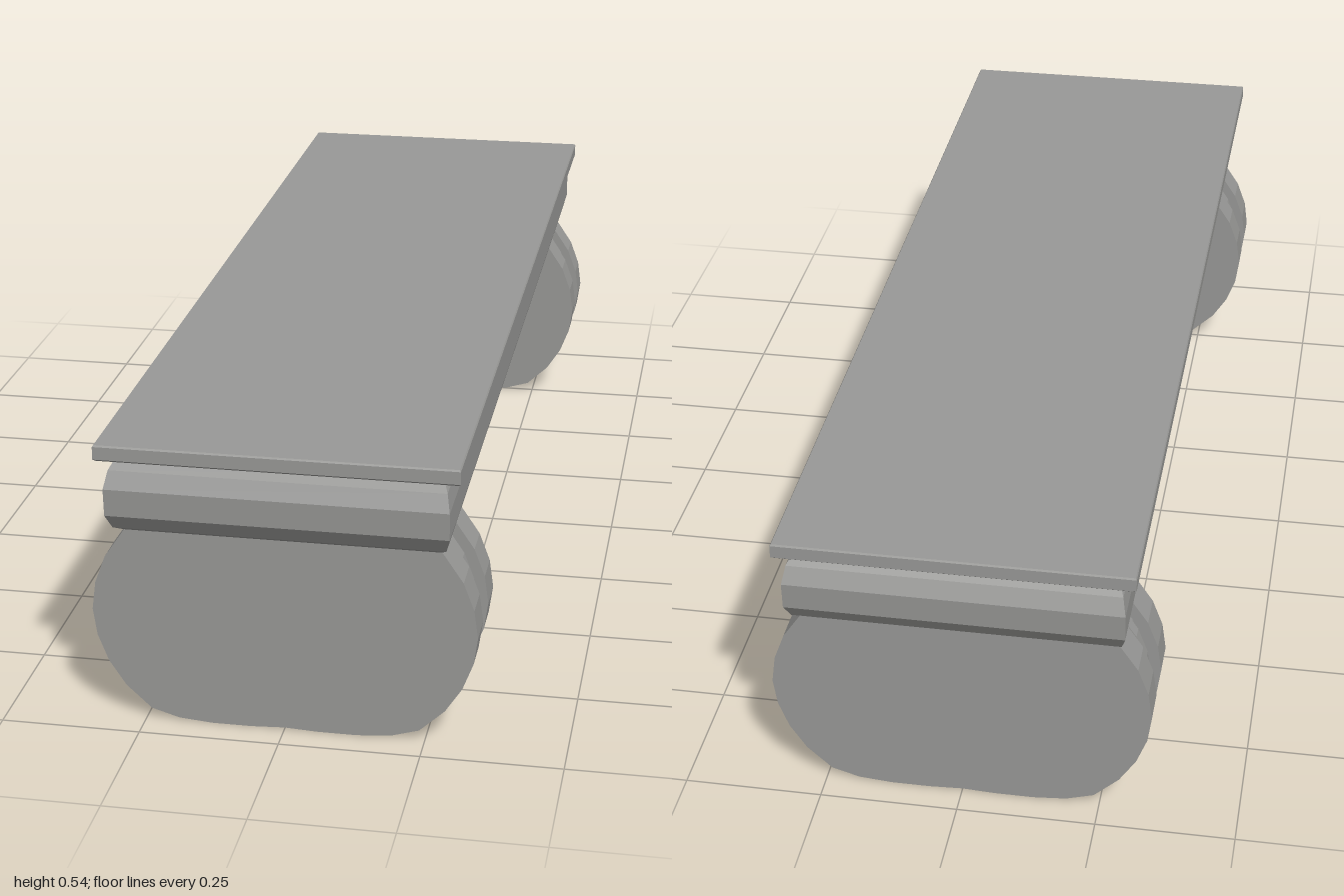
import * as THREE from 'three';

const stone = new THREE.MeshStandardMaterial({ color: 0x999997, flatShading: true });
stone.name = 'grey stone';

// Stack of rectangles [y, half width, half depth], capped at both ends
function loftRects(name, rings) {
  const pos = [], idx = [];
  for (const [y, hx, hz] of rings) {
    pos.push(hx, y, hz, hx, y, -hz, -hx, y, -hz, -hx, y, hz);
  }
  for (let r = 0; r < rings.length - 1; r++) {
    for (let k = 0; k < 4; k++) {
      const a = r * 4 + k, b = r * 4 + ((k + 1) % 4);
      idx.push(a, b, b + 4, a, b + 4, a + 4);
    }
  }
  const t = (rings.length - 1) * 4;
  idx.push(0, 2, 1, 0, 3, 2, t, t + 1, t + 2, t, t + 2, t + 3);
  const geo = new THREE.BufferGeometry();
  geo.setAttribute('position', new THREE.Float32BufferAttribute(pos, 3));
  geo.setIndex(idx);
  const flat = geo.toNonIndexed();
  flat.computeVertexNormals();
  const mesh = new THREE.Mesh(flat, stone);
  mesh.name = name;
  return mesh;
}

// Right half of the leg outline, from bottom centre to the top
const LEG_TOP = 0.38, LEG_HALF = 0.341;
const legHalf = [
  [0, 0.005], [0.06, 0.002], [0.13, 0.002], [0.19, 0.007], [0.24, 0.022],
  [0.285, 0.064], [0.315, 0.11], [0.334, 0.16], [LEG_HALF, 0.21], [0.334, 0.262],
  [0.315, 0.313], [0.28, 0.365], [0.268, LEG_TOP],
];

// Leg slice between two depths, with the outline drawn in by inset
function legSlice(name, z0, z1, inset) {
  const fit = ([x, y]) => new THREE.Vector2(
    x * (1 - inset / LEG_HALF), inset + y * (LEG_TOP - inset) / LEG_TOP);
  const right = legHalf.map(fit);
  const left = right.slice(1).reverse().map((p) => new THREE.Vector2(-p.x, p.y));
  const geo = new THREE.ExtrudeGeometry(new THREE.Shape([...right, ...left]),
    { depth: z1 - z0, bevelEnabled: false });
  geo.translate(0, 0, z0);
  const mesh = new THREE.Mesh(geo, stone);
  mesh.name = name;
  return mesh;
}

// Two outer plates, a recessed core and a thin middle rib
function makeLeg(name, z) {
  const leg = new THREE.Group();
  leg.name = name;
  leg.add(
    legSlice('outerPlate', 0.035, 0.103, 0),
    legSlice('innerPlate', -0.103, -0.035, 0),
    legSlice('core', -0.036, 0.036, 0.03),
    legSlice('rib', -0.012, 0.012, 0.016),
  );
  leg.position.z = z;
  return leg;
}

export function createModel() {
  const bench = new THREE.Group();
  bench.name = 'bench';

  // Thin seat slab with a small chamfer
  bench.add(loftRects('seatSlab', [
    [0.513, 0.31, 0.99], [0.517, 0.314, 0.995], [0.54, 0.314, 0.995], [0.543, 0.312, 0.993],
  ]));

  // Cushioned beam with a bulging edge
  bench.add(loftRects('beam', [
    [0.37, 0.275, 0.95], [0.385, 0.289, 0.977], [0.415, 0.297, 0.997],
    [0.465, 0.297, 1.0], [0.495, 0.291, 0.985], [0.514, 0.28, 0.957],
  ]));

  bench.add(makeLeg('frontLeg', 0.843), makeLeg('backLeg', -0.843));
  return bench;
}
